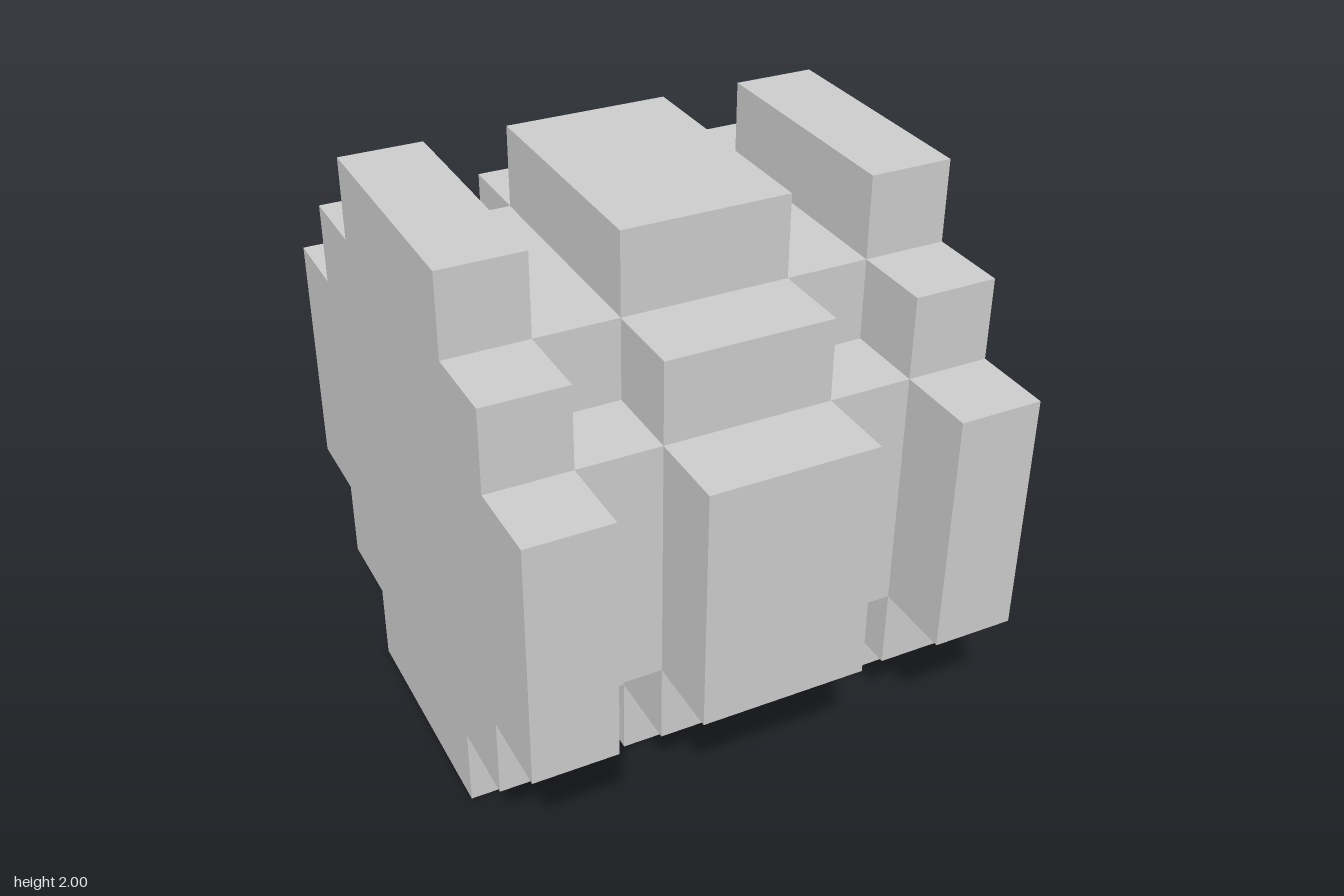
import * as THREE from 'three';

const U = 2 / 7; // one block

// Stepped disc outline from the (half width, half height) of each step, in blocks
function steppedDisc(steps) {
  const quarter = [];
  steps.forEach(([w, h], i) => {
    if (i > 0) quarter.push([w, steps[i - 1][1]]);
    quarter.push([w, h]);
  });
  const back = [...quarter].reverse();
  const outline = [
    ...quarter,
    ...back.map(([x, y]) => [-x, y]),
    ...quarter.map(([x, y]) => [-x, -y]),
    ...back.map(([x, y]) => [x, -y]),
  ];
  return new THREE.Shape(outline.map(([x, y]) => new THREE.Vector2(x * U, y * U)));
}

export function createModel() {
  const model = new THREE.Group();
  model.name = 'blockBarrel';
  const material = new THREE.MeshStandardMaterial({ color: 0xcccccc, flatShading: true });

  // Extrude a disc along x, centred on the given x (in blocks)
  function addDisc(name, shape, x, width) {
    const geometry = new THREE.ExtrudeGeometry(shape, { depth: width * U, bevelEnabled: false });
    geometry.translate(0, 0, -width * U / 2);
    geometry.rotateY(Math.PI / 2);
    const mesh = new THREE.Mesh(geometry, material);
    mesh.name = name;
    mesh.position.set(x * U, 1, 0);
    model.add(mesh);
  }

  const large = steppedDisc([[3.5, 1.5], [2.5, 2.5], [1.5, 3.5]]);
  const small = steppedDisc([[2.5, 1.5], [1.5, 2.5]]);

  // Core seen in the two grooves; its ends stay buried in the rims
  addDisc('core', small, 0, 5);
  addDisc('middleBand', large, 0, 2);
  addDisc('leftRim', large, 2.5, 1);
  addDisc('rightRim', large, -2.5, 1);

  return model;
}
